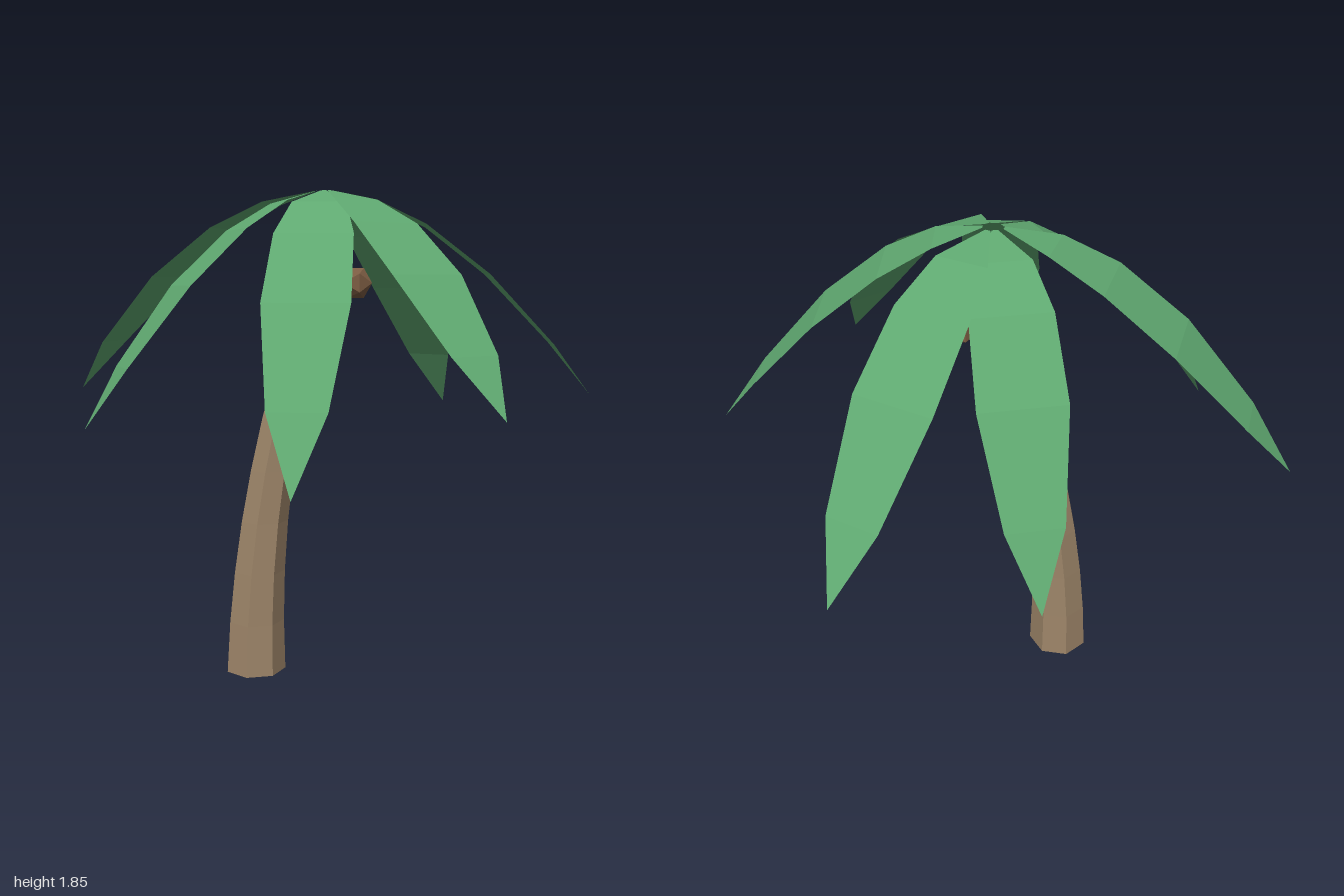
import * as THREE from 'three';

const flat = (color, side = THREE.FrontSide) =>
  new THREE.MeshStandardMaterial({ color, flatShading: true, side });

const CROWN = { x: 0.01, y: 1.85, z: -0.04 };

// Seven-sided tapering trunk, bent sideways along a parabola.
function makeTrunk() {
  const height = 1.6;
  const geo = new THREE.CylinderGeometry(1, 1, height, 7, 8);
  geo.rotateY(Math.PI / 2).translate(0, height / 2, 0);
  const p = geo.attributes.position;
  for (let i = 0; i < p.count; i++) {
    const y = THREE.MathUtils.clamp(p.getY(i), 0, height);
    const r = 0.066 + 0.052 * Math.pow(1 - y / height, 1.4);
    p.setXYZ(i, -0.263 + 0.108 * y * y + p.getX(i) * r, y, -0.035 + p.getZ(i) * r);
  }
  geo.computeVertexNormals();
  const trunk = new THREE.Mesh(geo, flat(0x9c8468));
  trunk.name = 'trunk';
  return trunk;
}

// One drooping leaf blade: a strip of cross-sections running out along +x.
function makeFrondGeometry(reach, drop) {
  const sections = [[0.035, 0.01], [0.2, 0.097], [0.38, 0.138], [0.61, 0.148], [0.85, 0.098], [1, 0]];
  const pos = [], index = [];
  sections.forEach(([t, half], i) => {
    const y = -drop * Math.pow(t, 1.8);
    pos.push(reach * t, y, -half, reach * t, y, half);
    if (i > 0) {
      const a = 2 * i - 2;
      index.push(a, a + 1, a + 2);
      if (half > 0) index.push(a + 1, a + 3, a + 2);
    }
  });
  const geo = new THREE.BufferGeometry();
  geo.setAttribute('position', new THREE.Float32BufferAttribute(pos, 3));
  geo.setIndex(index);
  geo.computeVertexNormals();
  return geo;
}

export function createModel() {
  const model = new THREE.Group();
  model.name = 'palmTree';
  model.add(makeTrunk());

  // Fronds, given by the tip of each one.
  const green = flat(0x5fa870, THREE.DoubleSide);
  const fronds = new THREE.Group();
  fronds.name = 'fronds';
  const tips = [
    [1.0, 1.1, 0.03], [0.575, 1.09, 0.765], [-0.08, 0.87, 0.9], [-0.83, 1.0, 0.3],
    [-1.0, 1.08, -0.385], [-0.11, 0.9, -0.88], [0.55, 0.97, -0.9],
  ];
  tips.forEach(([x, y, z], i) => {
    const dx = x - CROWN.x, dz = z - CROWN.z;
    const frond = new THREE.Mesh(makeFrondGeometry(Math.hypot(dx, dz), CROWN.y - y), green);
    frond.name = `frond${i + 1}`;
    frond.position.set(CROWN.x, CROWN.y, CROWN.z);
    frond.rotation.y = -Math.atan2(dz, dx);
    fronds.add(frond);
  });
  model.add(fronds);

  // Pale bud where the fronds meet the trunk.
  const bud = new THREE.Mesh(new THREE.IcosahedronGeometry(0.085), flat(0xa9b46a));
  bud.name = 'crownBud';
  bud.position.set(0.01, 1.63, -0.05);
  bud.scale.y = 0.8;
  model.add(bud);

  // Three coconuts spaced around the trunk top.
  const brown = flat(0x7d5d43);
  for (let i = 0; i < 3; i++) {
    const a = -0.3 + (i * Math.PI * 2) / 3;
    const nut = new THREE.Mesh(new THREE.IcosahedronGeometry(0.067), brown);
    nut.name = `coconut${i + 1}`;
    nut.position.set(0.015 + 0.115 * Math.cos(a), 1.51, -0.05 + 0.115 * Math.sin(a));
    nut.rotation.y = -a;
    model.add(nut);
  }
  return model;
}
